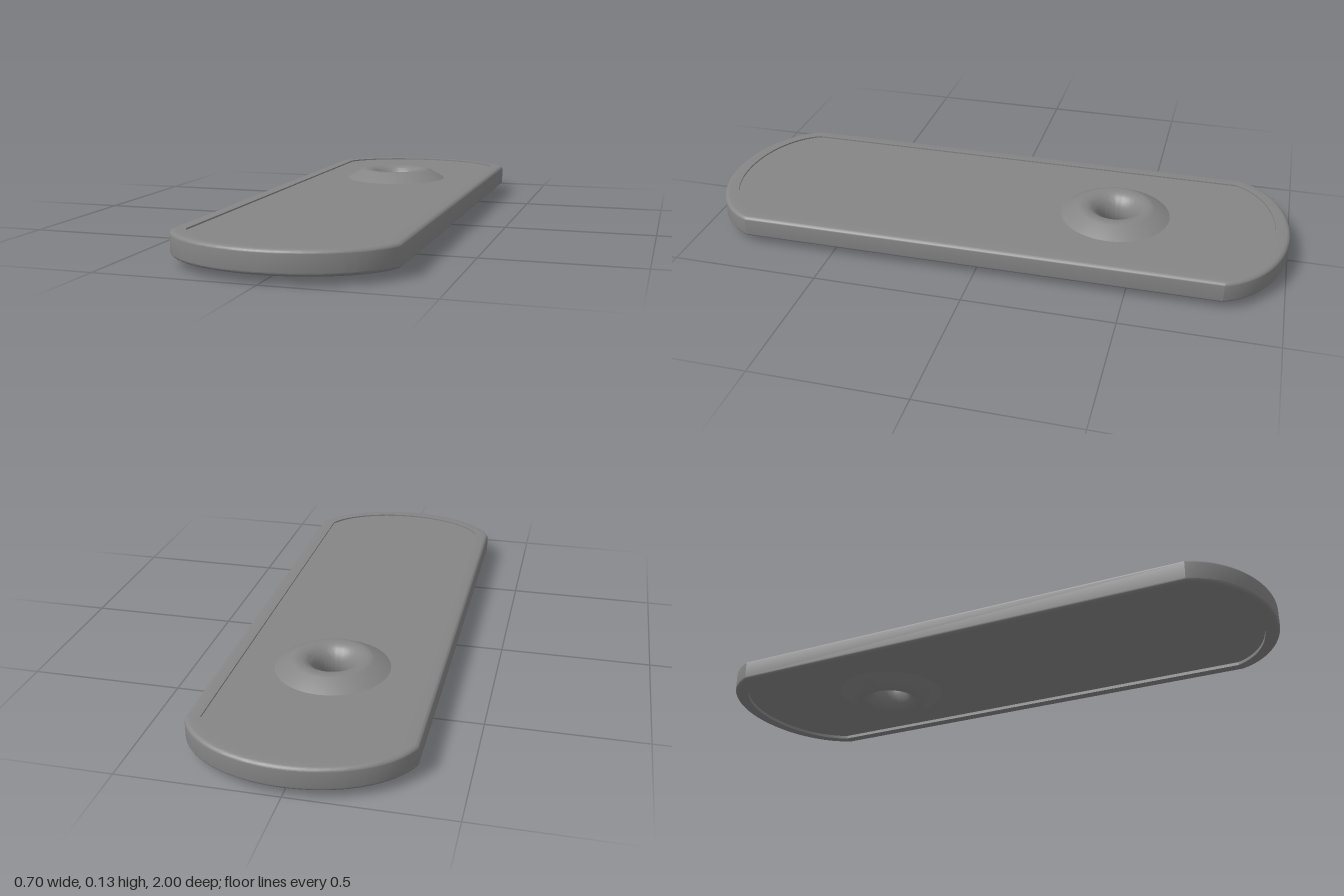
import * as THREE from 'three';
import { toCreasedNormals } from 'three/addons/utils/BufferGeometryUtils.js';

const HALF_WIDTH = 0.35;
// Elliptical ends: half-axes and centre
const END_X = 0.363, END_Z = 0.2585, END_CENTRE = 0.7415;
const HOLE_Z = -0.412;
const PANEL_TOP = 0.096, PANEL_BOTTOM = 0.036;

// Plate outline moved inward by d: straight sides and an elliptical arc at each end, as [x, z]
function outline(d, segments = 48) {
  const rx = END_X - d, rz = END_Z - d;
  const a = Math.asin((HALF_WIDTH - d) / rx);
  const points = [];
  for (const end of [1, -1]) {
    for (let i = 0; i <= segments; i++) {
      const t = a - (2 * a * i) / segments;
      points.push([end * rx * Math.sin(t), end * (END_CENTRE + rz * Math.cos(t))]);
    }
  }
  return points;
}

// Sweep a closed section of [inset, y] around the outline
function sweepRim(section) {
  const positions = [], indices = [];
  const rings = section.map(([d]) => outline(d));
  const n = rings[0].length, m = section.length;
  rings.forEach((ring, j) => ring.forEach(([x, z]) => positions.push(x, section[j][1], z)));
  for (let j = 0; j < m; j++) {
    for (let i = 0; i < n; i++) {
      const k = (i + 1) % n, l = (j + 1) % m;
      const a = j * n + i, b = j * n + k, c = l * n + k, d = l * n + i;
      indices.push(a, b, c, a, c, d);
    }
  }
  const geometry = new THREE.BufferGeometry();
  geometry.setAttribute('position', new THREE.Float32BufferAttribute(positions, 3));
  geometry.setIndex(indices);
  return toCreasedNormals(geometry, 0.33);
}

// Rim section: from the inner top edge, over rounded outer edges, to the inner bottom edge
function rimSection() {
  const rx = 0.018, ry = 0.012, top = 0.101, bottom = 0.025, inner = 0.048, steps = 8;
  const section = [[inner, PANEL_TOP - 0.004], [inner, top]];
  for (let i = 0; i <= steps; i++) {
    const t = (i / steps) * Math.PI / 2;
    section.push([rx * (1 - Math.sin(t)), top - ry * (1 - Math.cos(t))]);
  }
  for (let i = 0; i <= steps; i++) {
    const t = (i / steps) * Math.PI / 2;
    section.push([rx * (1 - Math.cos(t)), bottom + ry * (1 - Math.sin(t))]);
  }
  section.push([inner, bottom], [inner, PANEL_BOTTOM + 0.004]);
  return section;
}

// Recessed panel with an opening for the boss
function panelGeometry() {
  const shape = new THREE.Shape(outline(0.047).map(([x, z]) => new THREE.Vector2(x, -z)));
  const hole = new THREE.Path();
  hole.absarc(0, -HOLE_Z, 0.14, 0, Math.PI * 2, true);
  shape.holes.push(hole);
  const geometry = new THREE.ExtrudeGeometry(shape, {
    depth: PANEL_TOP - PANEL_BOTTOM, bevelEnabled: false, curveSegments: 48,
  });
  geometry.rotateX(-Math.PI / 2);
  geometry.translate(0, PANEL_BOTTOM, 0);
  return geometry;
}

// Boss with conical flanks and a hole flaring smoothly to both faces
function bossGeometry() {
  const flank = [
    [0.122, 0], [0.13, 0.003], [0.186, PANEL_BOTTOM],
    [0.186, PANEL_TOP], [0.132, 0.127], [0.122, 0.13],
  ];
  // Throat, top to bottom
  const throat = [];
  const steps = 20;
  for (let i = 0; i <= steps; i++) {
    const t = (i / steps) * Math.PI;
    throat.push([0.112 - 0.057 * Math.sin(t), 0.065 + 0.065 * Math.cos(t)]);
  }
  const profile = [...flank, ...throat, flank[0]].map(([r, y]) => new THREE.Vector2(r, y));
  return toCreasedNormals(new THREE.LatheGeometry(profile, 64), 0.6);
}

export function createModel() {
  const group = new THREE.Group();
  const material = new THREE.MeshStandardMaterial({ color: 0x858585 });
  const add = (name, geometry) => {
    const mesh = new THREE.Mesh(geometry, material);
    mesh.name = name;
    group.add(mesh);
    return mesh;
  };
  add('rim', sweepRim(rimSection()));
  add('panel', panelGeometry());
  add('boss', bossGeometry()).position.z = HOLE_Z;
  return group;
}
